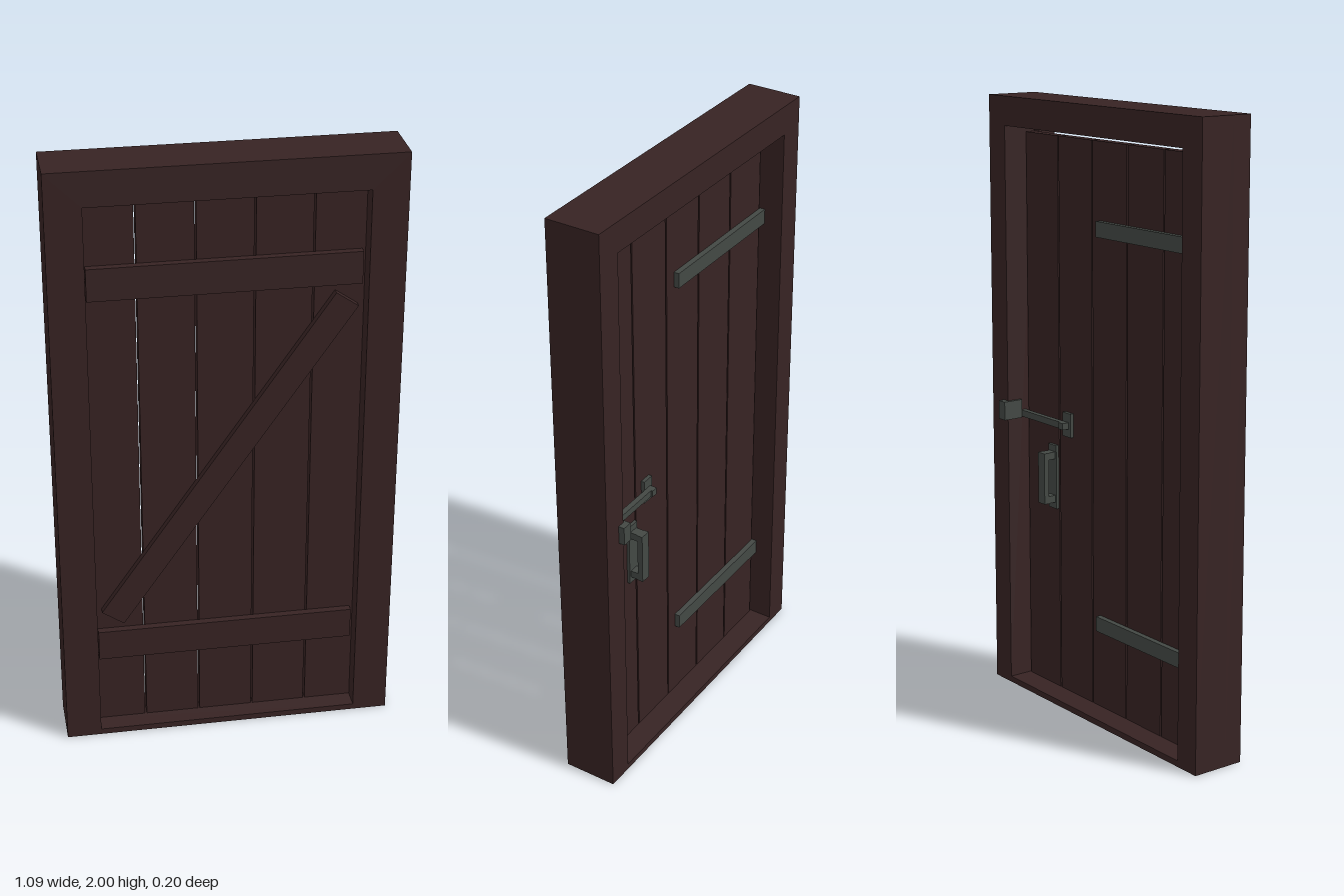
import * as THREE from 'three';

export function createModel() {
  const model = new THREE.Group();
  model.name = 'plankDoor';

  const wood = new THREE.MeshStandardMaterial({ color: 0x372323 });
  wood.name = 'dark wood';
  const iron = new THREE.MeshStandardMaterial({ color: 0x434844 });
  iron.name = 'dark iron';

  // Box given by its limits on each axis
  function box(name, material, [x0, x1], [y0, y1], [z0, z1], parent = model) {
    const mesh = new THREE.Mesh(new THREE.BoxGeometry(x1 - x0, y1 - y0, z1 - z0), material);
    mesh.position.set((x0 + x1) / 2, (y0 + y1) / 2, (z0 + z1) / 2);
    mesh.name = name;
    parent.add(mesh);
    return mesh;
  }

  function rectangle(path, halfWidth, bottom, top) {
    path.moveTo(-halfWidth, bottom);
    path.lineTo(halfWidth, bottom);
    path.lineTo(halfWidth, top);
    path.lineTo(-halfWidth, top);
    path.closePath();
    return path;
  }

  // One layer of the surround, with its opening cut out
  function frameLayer(name, openHalf, openTop, z0, z1) {
    const shape = rectangle(new THREE.Shape(), 0.543, 0, 2);
    shape.holes.push(rectangle(new THREE.Path(), openHalf, 0.02, openTop));
    const geometry = new THREE.ExtrudeGeometry(shape, { depth: z1 - z0, bevelEnabled: false });
    const mesh = new THREE.Mesh(geometry, wood);
    mesh.position.z = z0;
    mesh.name = name;
    model.add(mesh);
  }

  // Frame: narrow stop in front, wider rebate behind
  frameLayer('frameStop', 0.43, 1.888, 0.037, 0.1);
  frameLayer('frameRebate', 0.455, 1.905, -0.08, 0.037);

  // Five upright planks with narrow gaps
  const planks = new THREE.Group();
  planks.name = 'planks';
  model.add(planks);
  for (let i = -2; i <= 2; i++) {
    const x = i * 0.181;
    box('plank', wood, [x - 0.0875, x + 0.0875], [0.02, 1.882], [0, 0.036], planks);
  }

  // Front battens and diagonal brace
  box('upperBatten', wood, [-0.424, 0.42], [1.57, 1.676], [0.036, 0.06]);
  box('lowerBatten', wood, [-0.424, 0.42], [0.275, 0.381], [0.036, 0.06]);
  const brace = box('diagonalBrace', wood, [-0.66, 0.66], [0.934, 1.02], [0.036, 0.06]);
  brace.rotation.z = Math.atan2(1.088, 0.75);

  // Strap hinges on the back
  for (const y of [1.61, 0.312]) {
    box('strapHinge', iron, [-0.454, 0.048], [y - 0.025, y + 0.025], [-0.018, 0]);
  }

  // Latch: bar, pivot plate, guide and the catch on the frame
  const latch = new THREE.Group();
  latch.name = 'latch';
  model.add(latch);
  box('latchBar', iron, [0.205, 0.45], [0.936, 0.958], [-0.03, -0.012], latch);
  box('latchPlate', iron, [0.195, 0.238], [0.908, 0.988], [-0.012, 0], latch);
  box('latchPivot', iron, [0.206, 0.228], [0.936, 0.958], [-0.036, -0.012], latch);
  box('latchCatch', iron, [0.445, 0.48], [0.932, 0.994], [-0.1, -0.08], latch);
  box('catchHook', iron, [0.445, 0.46], [0.932, 0.994], [-0.08, -0.03], latch);

  // Pull handle: back plate, two posts and the grip
  const handle = new THREE.Group();
  handle.name = 'pullHandle';
  model.add(handle);
  box('handlePlate', iron, [0.278, 0.323], [0.648, 0.865], [-0.01, 0], handle);
  for (const y of [0.682, 0.831]) {
    box('handlePost', iron, [0.284, 0.316], [y - 0.012, y + 0.012], [-0.04, -0.01], handle);
  }
  box('handleGrip', iron, [0.282, 0.318], [0.67, 0.843], [-0.055, -0.037], handle);

  return model;
}
